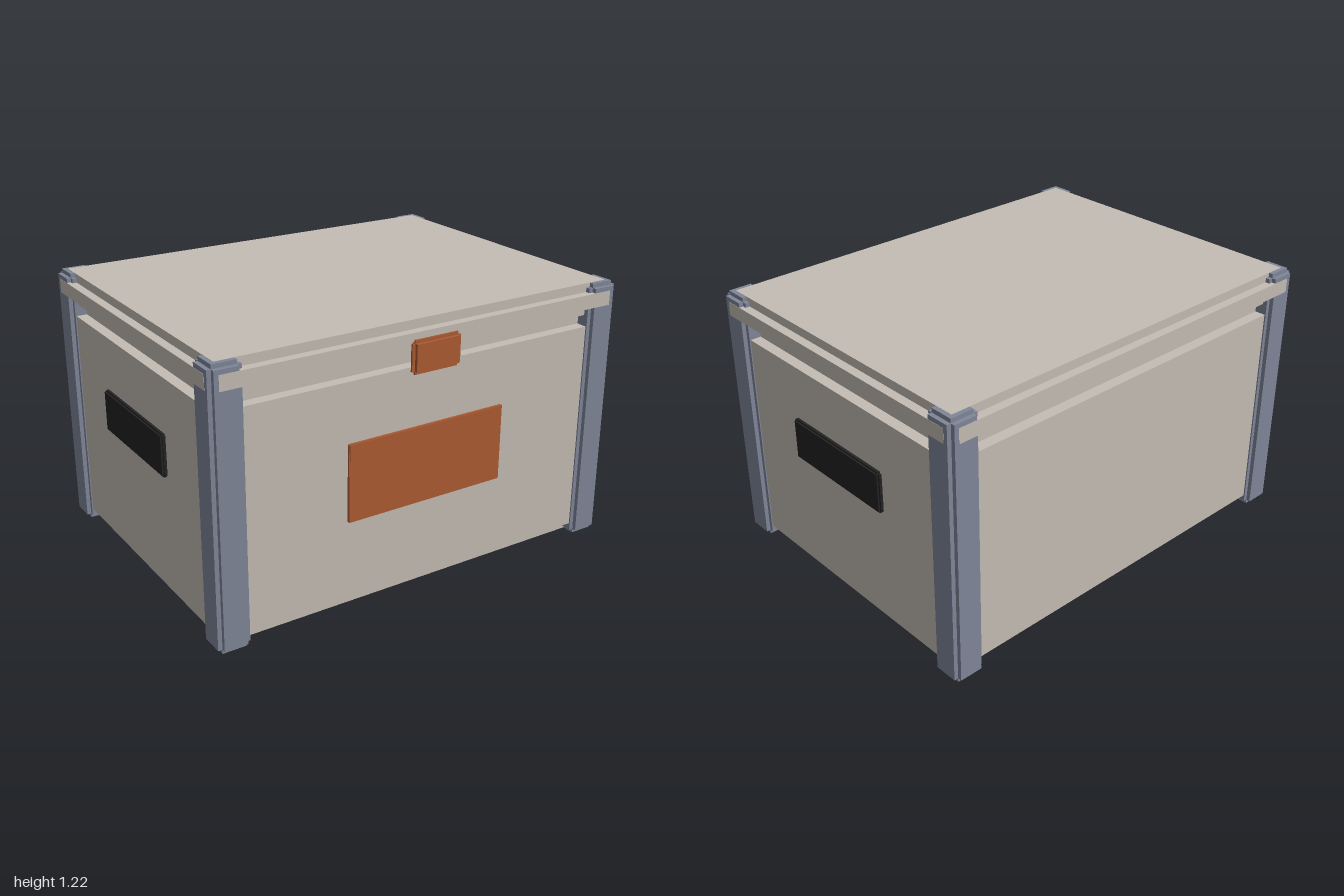
import * as THREE from 'three';
import { mergeGeometries } from 'three/addons/utils/BufferGeometryUtils.js';

const mat = (name, color) => {
  const m = new THREE.MeshStandardMaterial({ color });
  m.name = name;
  return m;
};

// Box with stepped edges: three crossed boxes, each full size along one axis
function steppedBox(w, h, d, s) {
  const t = 2 * s;
  return mergeGeometries([
    new THREE.BoxGeometry(w, h - t, d - t),
    new THREE.BoxGeometry(w - t, h, d - t),
    new THREE.BoxGeometry(w - t, h - t, d),
  ]);
}

export function createModel() {
  const beige = mat('warm beige', 0xc5bdb4);
  const slate = mat('slate blue', 0x808799);
  const rust = mat('rust orange', 0xae5b33);
  const black = mat('charcoal', 0x222222);

  const model = new THREE.Group();
  model.name = 'storageCrate';
  const crate = new THREE.Group(); // the crate sits slightly back to leave room for the latch
  crate.name = 'crate';
  crate.position.z = -0.02;
  model.add(crate);

  const add = (name, geometry, material, x, y, z) => {
    const mesh = new THREE.Mesh(geometry, material);
    mesh.name = name;
    mesh.position.set(x, y, z);
    crate.add(mesh);
  };

  // Body and lid
  add('body', steppedBox(1.95, 1.074, 1.46, 0.05), beige, 0, 0.539, 0);
  add('lid', steppedBox(2, 0.145, 1.512, 0.04), beige, 0, 1.1475, 0);

  // Corner posts
  const post = steppedBox(0.144, 1.219, 0.144, 0.019);
  for (const x of [-1, 1]) {
    for (const z of [-1, 1]) {
      add(`${z > 0 ? 'front' : 'back'}${x > 0 ? 'Left' : 'Right'}Post`, post, slate, x * 0.927, 0.6095, z * 0.683);
    }
    // Side handle
    add(x > 0 ? 'leftHandle' : 'rightHandle', steppedBox(0.03, 0.192, 0.585, 0.008), black, x * 0.98, 0.685, 0);
  }

  // Front plate and latch
  add('frontPlate', steppedBox(0.78, 0.348, 0.02, 0.003), rust, 0, 0.588, 0.733);
  add('latch', steppedBox(0.24, 0.145, 0.037, 0.014), rust, 0, 1.084, 0.7735);

  return model;
}
